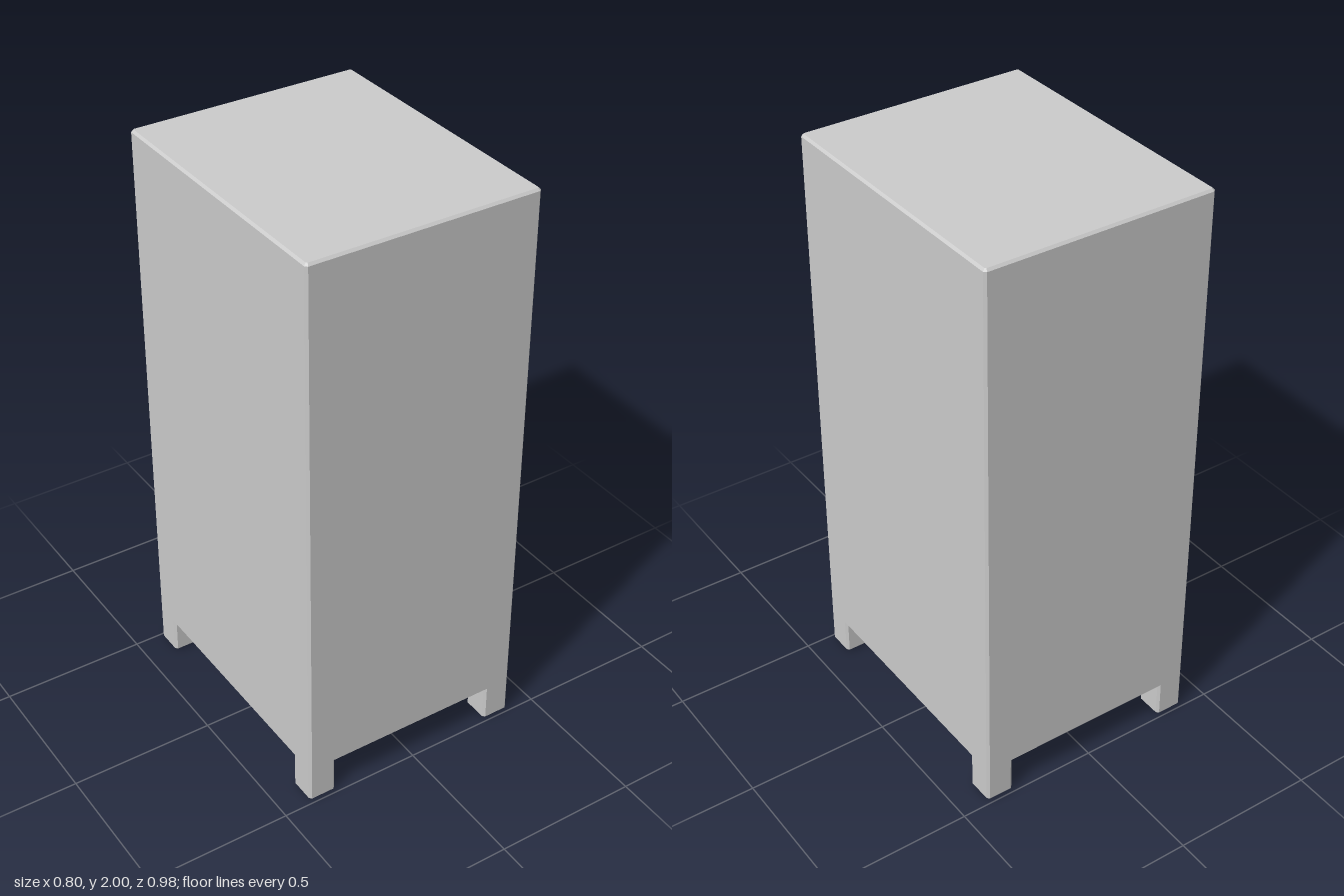
import * as THREE from 'three';

const W = 0.8, D = 0.978, H = 2;   // overall size
const LEG = 0.098, FLOOR = 0.127;  // leg thickness, height of the underside
const C = 0.008;                   // chamfer on every edge

const material = new THREE.MeshStandardMaterial({ color: 0xcccccc, flatShading: true });

// Box with chamfered edges, centred on x and z, standing on y = 0
function chamferBox(name, w, h, d) {
  const x = w / 2, z = d / 2;
  const outline = new THREE.Shape([
    [-x + C, -z], [x - C, -z], [x, -z + C], [x, z - C],
    [x - C, z], [-x + C, z], [-x, z - C], [-x, -z + C],
  ].map(([a, b]) => new THREE.Vector2(a, b)));
  const geometry = new THREE.ExtrudeGeometry(outline, {
    depth: h - 2 * C, bevelEnabled: true, bevelSegments: 1,
    bevelThickness: C, bevelSize: C * 0.9, bevelOffset: -C * 0.9,
  });
  geometry.translate(0, 0, C).rotateX(-Math.PI / 2);
  const mesh = new THREE.Mesh(geometry, material);
  mesh.name = name;
  return mesh;
}

export function createModel() {
  const model = new THREE.Group();
  model.name = 'cabinet';

  // Tall closed body
  const body = chamferBox('body', W, H - FLOOR, D);
  body.position.y = FLOOR;
  model.add(body);

  // Four corner legs, flush with the sides and let into the body's lower edge
  for (const sx of [-1, 1]) {
    for (const sz of [-1, 1]) {
      const name = (sz > 0 ? 'front' : 'back') + (sx > 0 ? 'Left' : 'Right') + 'Leg';
      const leg = chamferBox(name, LEG, FLOOR + 2 * C, LEG);
      leg.position.set(sx * (W - LEG) / 2, 0, sz * (D - LEG) / 2);
      model.add(leg);
    }
  }
  return model;
}
